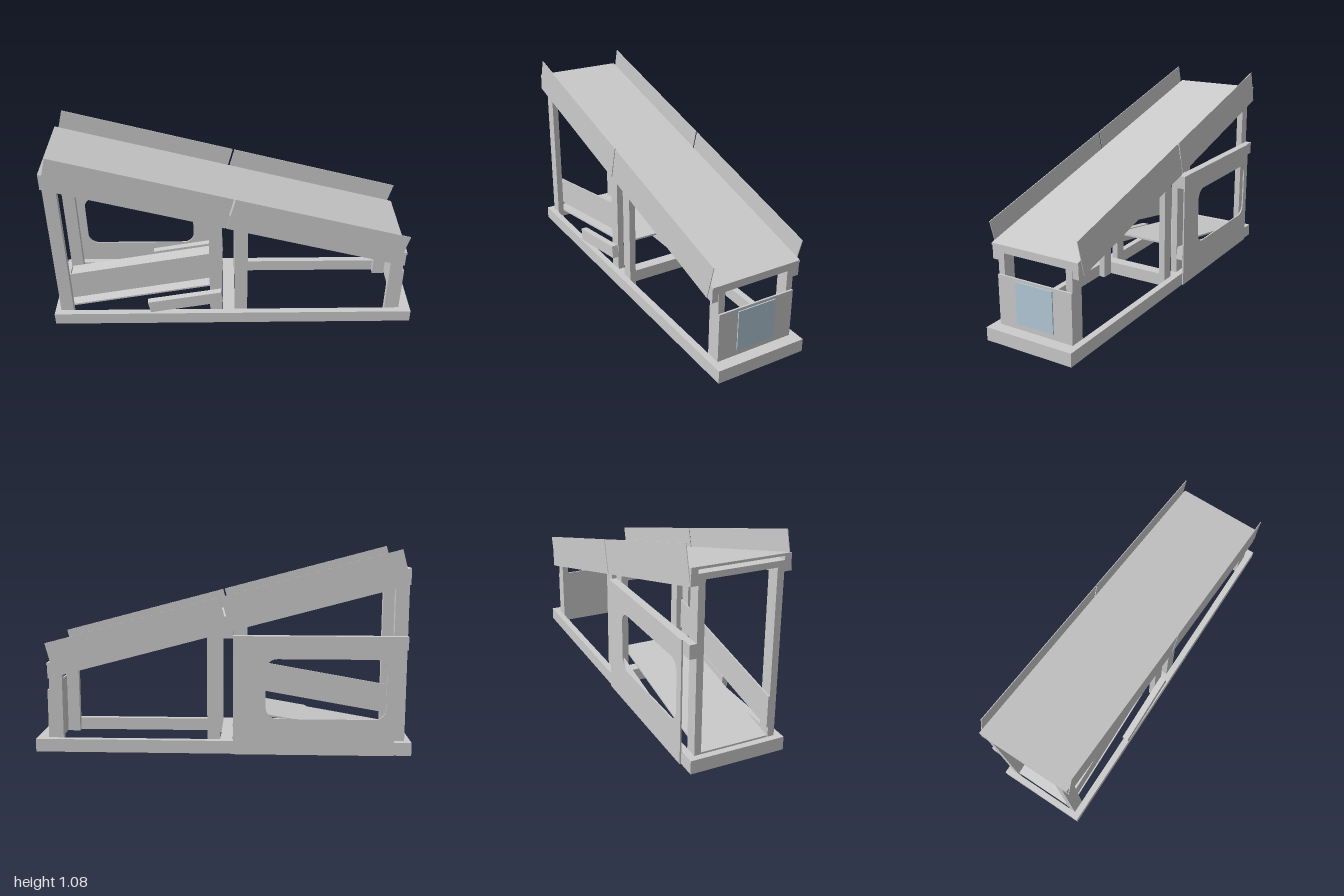
import * as THREE from 'three';

const grey = new THREE.MeshStandardMaterial({ color: 0xcccccc });
const blue = new THREE.MeshStandardMaterial({ color: 0xb4cbd8 });

// Underside of the sloping ramp at a given x
const rampY = (x) => 0.905 - 0.2665 * (x + 0.97);

export function createModel() {
  const group = new THREE.Group();

  function add(name, geometry, material = grey) {
    const mesh = new THREE.Mesh(geometry, material);
    mesh.name = name;
    group.add(mesh);
  }
  // Box given by its limits
  function box(name, x0, x1, y0, y1, z0, z1, material) {
    const g = new THREE.BoxGeometry(x1 - x0, y1 - y0, z1 - z0);
    g.translate((x0 + x1) / 2, (y0 + y1) / 2, (z0 + z1) / 2);
    add(name, g, material);
  }
  // Side outline extruded across z
  function slab(name, points, z0, z1, hole) {
    const shape = new THREE.Shape(points.map((p) => new THREE.Vector2(...p)));
    if (hole) shape.holes.push(hole);
    const g = new THREE.ExtrudeGeometry(shape, { depth: z1 - z0, bevelEnabled: false, curveSegments: 8 });
    g.translate(0, 0, z0);
    add(name, g);
  }
  // Same outline on the left and right hand sides of the frame
  function pair(name, points, inner, outer) {
    slab('front' + name, points, inner, outer);
    slab('back' + name, points, -outer, -inner);
  }
  // Board following the ramp slope, between two heights above its underside
  const sloped = (x0, x1, a, b) => [
    [x0, rampY(x0) + a], [x1, rampY(x1) + a], [x1, rampY(x1) + b], [x0, rampY(x0) + b],
  ];

  // Base frame
  pair('BaseRail', [[-1, 0], [1, 0], [1, 0.07], [-1, 0.07]], 0.215, 0.25);
  box('upperEndBaseBoard', -1, -0.967, 0, 0.07, -0.215, 0.215);
  box('lowerEndBaseBoard', 0.93, 1, 0, 0.07, -0.215, 0.215);
  box('middleBaseBoard', -0.055, 0.01, 0, 0.07, -0.215, 0.215);

  // Posts, standing inside the base rails
  for (const [x, drop] of [[-0.967, 0.03], [-0.128, 0], [0.01, 0], [0.857, 0.03]]) {
    const x1 = x + 0.07;
    const top = (px) => rampY(px) + 0.072;
    const heights = drop ? [top(x1) - drop, top(x1) - drop] : [top(x1), top(x)];
    pair('Post', [[x, 0], [x1, 0], [x1, heights[0]], [x, heights[1]]], 0.18, 0.215);
    // Crosspiece lying on the end posts
    if (drop) box('endCrosspiece', x, x1, top(x1) - drop, top(x1), -0.215, 0.215);
  }
  box('middleCrosspiece', -0.055, 0.01, 0.61, 0.68, -0.18, 0.18);

  // Ramp deck with its stringers
  pair('RampStringer', sloped(-0.967, 0.925, 0, 0.073), 0.215, 0.25);
  slab('rampDeck', sloped(-0.967, 0.93, 0.073, 0.085), -0.25, 0.25);

  // Thin side walls in two lengths, square to the slope
  const angle = Math.atan(0.2665);
  const rise = [Math.sin(angle) * 0.186, Math.cos(angle) * 0.186];
  for (const [x0, x1] of [[-0.967, -0.043], [-0.034, 0.886]]) {
    pair('RampWall', [
      [x0, rampY(x0)], [x1, rampY(x1)],
      [x1 + rise[0], rampY(x1) + rise[1]], [x0 + rise[0], rampY(x0) + rise[1]],
    ], 0.25, 0.254);
  }

  // Back panel with a rounded window, and the rail behind its top edge
  const [l, r, b, t, c] = [-0.86, -0.23, 0.195, 0.515, 0.06];
  const hole = new THREE.Path();
  hole.moveTo(l + c, b).lineTo(r - c, b);
  hole.absarc(r - c, b + c, c, -Math.PI / 2, 0);
  hole.absarc(r - c, t - c, c, 0, Math.PI / 2);
  hole.absarc(l + c, t - c, c, Math.PI / 2, Math.PI);
  hole.absarc(l + c, b + c, c, Math.PI, Math.PI * 1.5);
  slab('windowPanel', [[-0.905, 0], [-0.06, 0], [-0.06, 0.635], [-0.905, 0.635]], -0.258, -0.25, hole);
  box('panelRail', -0.967, -0.058, 0.565, 0.635, -0.25, -0.215);

  // Tilted tray below the ramp, its short side bars and front guard
  slab('tray', [[-0.96, 0.064], [-0.06, 0.222], [-0.06, 0.232], [-0.96, 0.074]], -0.18, 0.18);
  pair('TrayBar', [[-0.46, 0.08], [-0.055, 0.15], [-0.067, 0.22], [-0.473, 0.15]], 0.215, 0.25);
  slab('trayGuard', [[-0.967, 0.122], [-0.058, 0.282], [-0.058, 0.448], [-0.967, 0.288]], 0.172, 0.18);

  // Low end panel and its plate
  box('endPanel', 0.927, 0.937, 0.07, 0.332, -0.215, 0.215);
  box('coloredPlate', 0.937, 0.943, 0.1, 0.318, -0.108, 0.108, blue);

  group.position.z = 0.002;
  return group;
}
